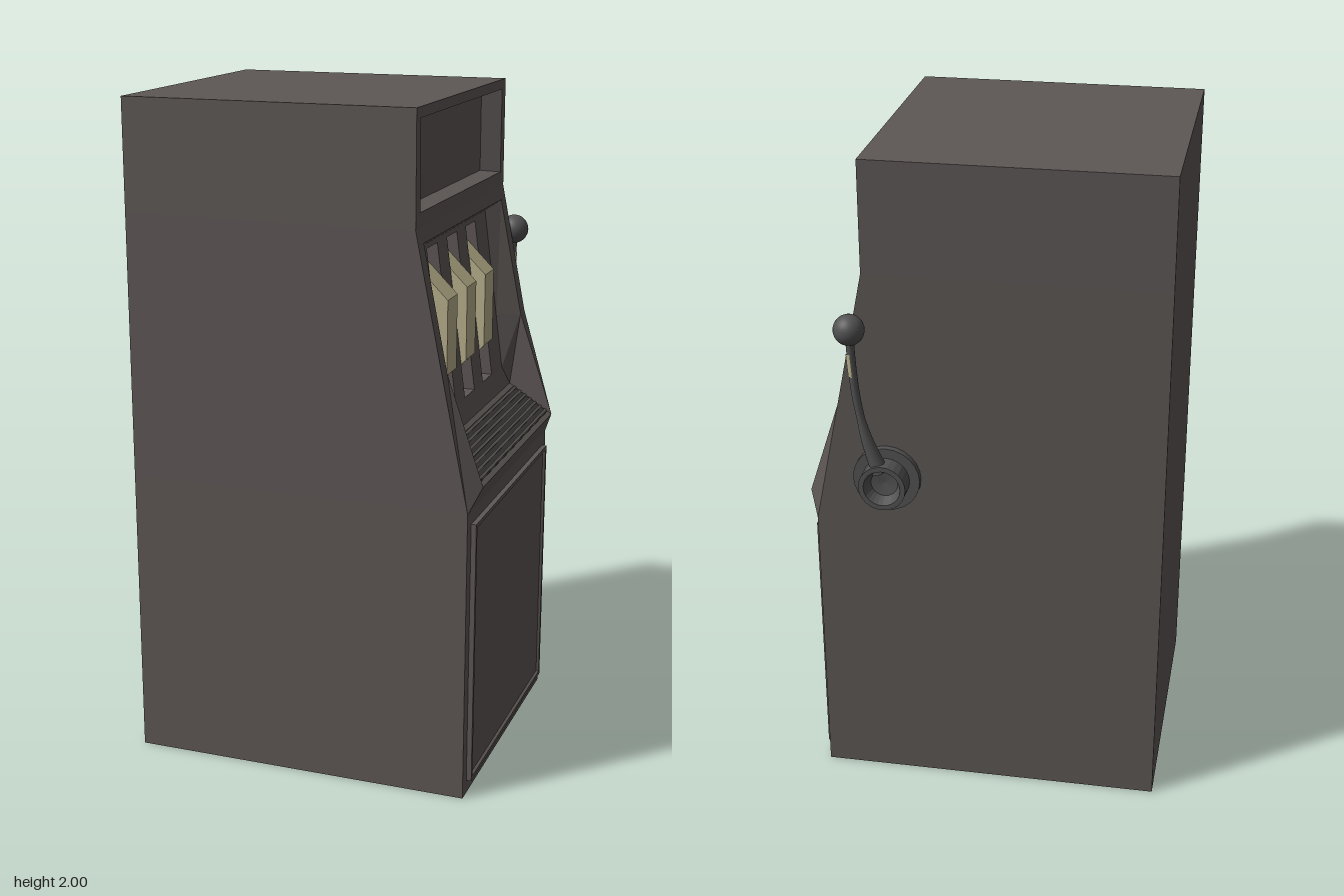
import * as THREE from 'three';

const mat = (name, color) => {
  const m = new THREE.MeshStandardMaterial({ color });
  m.name = name;
  return m;
};

export function createModel() {
  const grey = mat('cabinet grey', 0x5d5755);
  const dark = mat('vent dark', 0x393636);
  const metal = mat('lever grey', 0x535253);
  const cream = mat('reel cream', 0xb8b08c);

  const model = new THREE.Group();
  model.name = 'slotMachine';
  const cabinet = new THREE.Group();
  cabinet.name = 'cabinet';
  cabinet.position.z = 0.0475;
  model.add(cabinet);

  const add = (name, geometry, material, parent = cabinet) => {
    const mesh = new THREE.Mesh(geometry, material);
    mesh.name = name;
    parent.add(mesh);
    return mesh;
  };
  // flat faces from four-corner lists, counter-clockwise from outside
  const faces = (quads) => {
    const out = [];
    for (const [a, b, c, d] of quads) out.push(...a, ...b, ...c, ...a, ...c, ...d);
    const g = new THREE.BufferGeometry();
    g.setAttribute('position', new THREE.Float32BufferAttribute(out, 3));
    g.computeVertexNormals();
    return g;
  };
  // mirrored loop from [x, y, halfWidth] points listed from bottom to top
  const loop = (pts) => [
    ...pts.map(([x, y, h]) => [x, y, h]),
    ...[...pts].reverse().map(([x, y, h]) => [x, y, -h]),
  ];
  const rect = (x, y0, y1, h) => loop([[x, y0, h], [x, y1, h]]);
  // bands joining each loop to the next, going inwards
  const bands = (loops) => {
    const q = [];
    for (let k = 0; k + 1 < loops.length; k++) {
      const a = loops[k], b = loops[k + 1];
      a.forEach((p, i) => {
        const j = (i + 1) % a.length;
        q.push([p, b[i], b[j], a[j]]);
      });
    }
    return q;
  };
  const fill = (l) => [...l].reverse();

  // outer shell: sides, back, top and bottom
  const H = 0.4375, B = -0.535;
  const profile = [[0.5, 0], [0.5, 0.88], [0.34, 1.67], [0.34, 2]];
  const shell = [
    [[B, 0, -H], [B, 0, H], [B, 2, H], [B, 2, -H]],
    [[B, 2, H], [0.34, 2, H], [0.34, 2, -H], [B, 2, -H]],
    [[B, 0, -H], [0.5, 0, -H], [0.5, 0, H], [B, 0, H]],
    fill(rect(0.5, 0, 0.88, H)),
  ];
  for (let i = 0; i < 3; i++) {
    const [x0, y0] = profile[i], [x1, y1] = profile[i + 1];
    const side = (z) => [[B, y0, z], [x0, y0, z], [x1, y1, z], [B, y1, z]];
    shell.push(side(H), side(-H).reverse());
  }
  add('cabinetShell', faces(shell), grey);

  // recessed sign panel at the top
  const signBack = rect(0.28, 1.72, 1.96, 0.38);
  add('signPanel', faces([
    ...bands([rect(0.34, 1.67, 2, H), rect(0.34, 1.715, 1.97, 0.4), signBack]),
    fill(signBack),
  ]), grey);

  // raised lower door with a thin rim
  const doorBack = rect(0.507, 0.055, 0.825, 0.385);
  add('lowerDoor', faces([
    ...bands([rect(0.5, 0.04, 0.84, 0.4), rect(0.515, 0.04, 0.84, 0.4),
      rect(0.515, 0.052, 0.828, 0.388), doorBack]),
    fill(doorBack),
  ]), grey);

  // bezel, ledge and sloping walls around the reel window
  const W = 0.39, P = 0.355;
  const panelX = (y) => 0.372 - 0.132 * (y - 1.1);
  add('windowBezel', faces(bands([
    loop([[0.5, 0.88, H], [0.42, 1.27, H], [0.34, 1.67, H]]),
    loop([[0.53, 0.95, W], [0.42, 1.27, W], [0.348, 1.63, W]]),
    loop([[0.39, 1.04, W], [0.42, 1.27, W], [0.348, 1.63, W]]),
    loop([[panelX(1.1), 1.1, P], [panelX(1.27), 1.27, P], [panelX(1.6), 1.6, P]]),
  ])), grey);

  // reel panel with three open slots
  const reelZ = [0.19, 0, -0.19], S = 0.049, Y0 = 1.105, Y1 = 1.585;
  const at = (y, z) => [panelX(y), y, z];
  const panel = [], walls = [];
  const plate = (y0, y1, zl, zr) =>
    panel.push([at(y0, zl), at(y0, zr), at(y1, zr), at(y1, zl)]);
  plate(1.1, Y0, P, -P);
  plate(Y1, 1.6, P, -P);
  let edge = P;
  for (const z of reelZ) {
    plate(Y0, Y1, edge, z + S);
    edge = z - S;
    const rim = [at(Y0, z + S), at(Y1, z + S), at(Y1, z - S), at(Y0, z - S)];
    const deep = rim.map(([, y, zz]) => [0.15, y, zz]);
    walls.push(...bands([rim, deep]), fill(deep));
  }
  plate(Y0, Y1, edge, -P);
  add('reelPanel', faces(panel), grey);
  add('reelSlots', faces(walls), grey);

  // eight-sided reels
  for (const z of reelZ) {
    const g = new THREE.CylinderGeometry(0.2875, 0.2875, 0.094, 8).toNonIndexed();
    g.rotateY(Math.PI / 8).rotateX(Math.PI / 2);
    g.computeVertexNormals();
    add('reel', g, cream).position.set(0.106, 1.33, z);
  }

  // ribbed vent on the sloping ledge
  const vent = new THREE.Group();
  vent.name = 'ledgeVent';
  vent.position.set(0.46, 0.995, 0);
  vent.rotation.z = Math.atan2(-0.09, 0.14);
  cabinet.add(vent);
  add('ventPlate', new THREE.BoxGeometry(0.135, 0.004, 0.75), dark, vent).position.y = 0.002;
  for (let i = 0; i < 7; i++) {
    add('ventRib', new THREE.BoxGeometry(0.008, 0.006, 0.75), grey, vent)
      .position.set(-0.06 + i * 0.02, 0.005, 0);
  }

  // lever: wall flange and hollow hub
  const lever = new THREE.Group();
  lever.name = 'lever';
  model.add(lever);
  const flange = add('leverFlange', new THREE.CylinderGeometry(0.1, 0.1, 0.02, 24), metal, lever);
  flange.rotation.x = Math.PI / 2;
  flange.position.set(0.28, 1.04, -0.4);
  const hubPts = [[0, 0.02], [0.04, 0.025], [0.055, 0.06], [0.07, 0.06], [0.07, 0]]
    .map(([r, y]) => new THREE.Vector2(r, y)).reverse();
  const hubGeo = new THREE.LatheGeometry(hubPts, 24).toNonIndexed();
  hubGeo.computeVertexNormals();
  const hub = add('leverHub', hubGeo, metal, lever);
  hub.rotation.x = -Math.PI / 2;
  hub.position.set(0.28, 1.04, -0.41);

  // curved arm, thinner towards the middle
  const curve = new THREE.CatmullRomCurve3([
    [0.29, 1.08], [0.325, 1.18], [0.35, 1.3], [0.36, 1.4], [0.365, 1.5],
  ].map(([x, y]) => new THREE.Vector3(x, y, -0.44)));
  const arm = new THREE.TubeGeometry(curve, 20, 0.012, 10);
  const pos = arm.attributes.position, v = new THREE.Vector3();
  for (let i = 0; i < pos.count; i++) {
    const t = Math.floor(i / 11) / 20, c = curve.getPointAt(t);
    v.fromBufferAttribute(pos, i).sub(c).multiplyScalar(1 + 1.1 * Math.max(0, 1 - t * 2.5)).add(c);
    pos.setXYZ(i, v.x, v.y, v.z);
  }
  arm.computeVertexNormals();
  add('leverArm', arm, metal, lever);

  // light inlay on the front of the arm, and the knob
  const inlay = add('armInlay',
    new THREE.CylinderGeometry(0.014, 0.014, 0.07, 8, 1, true, 0, Math.PI), cream, lever);
  inlay.position.set(0.361, 1.415, -0.44);
  inlay.rotation.z = -0.07;
  add('leverKnob', new THREE.SphereGeometry(0.045, 24, 16), metal, lever)
    .position.set(0.365, 1.522, -0.443);

  return model;
}
